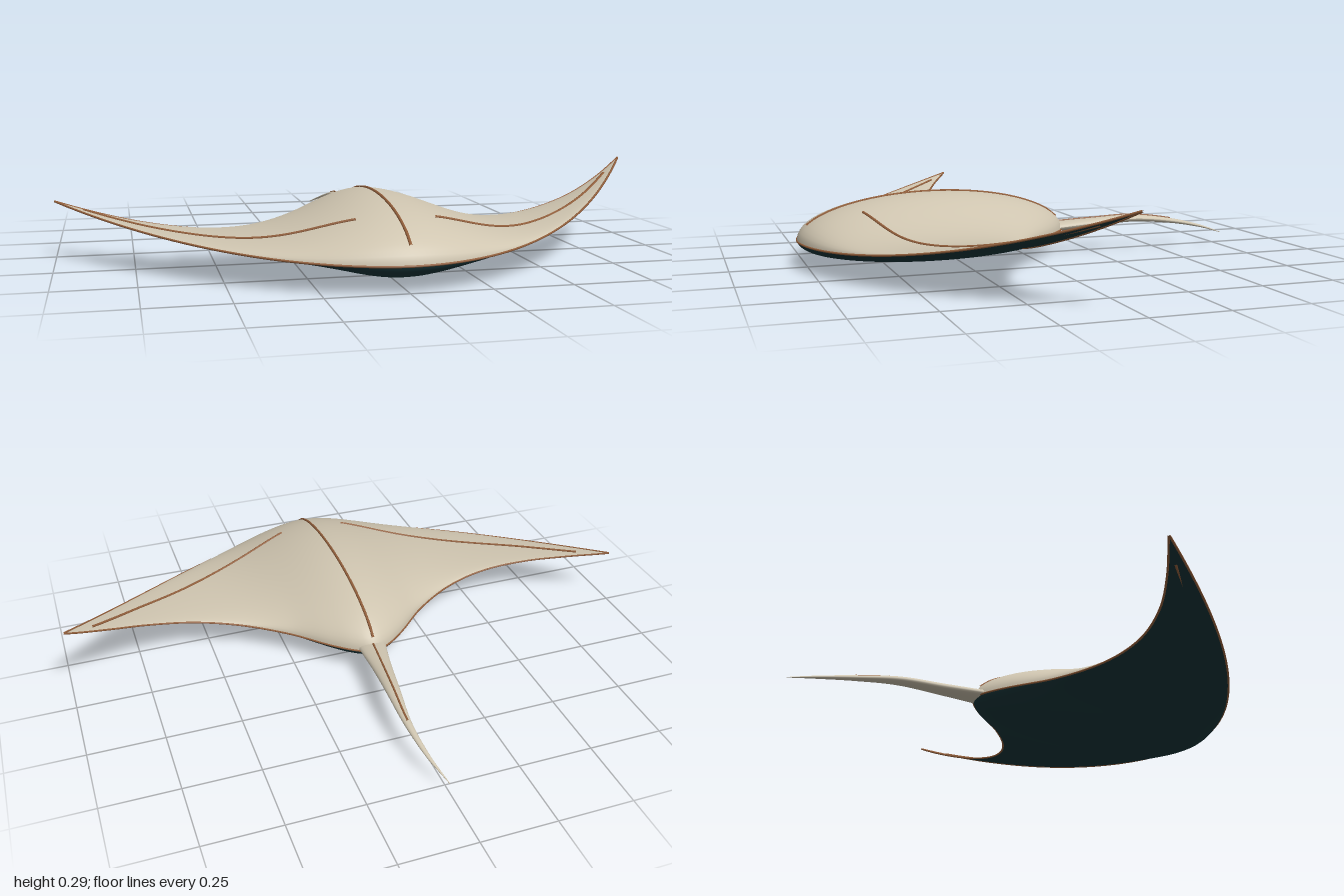
import * as THREE from 'three';

// Trailing edge: span position -> z
const trailing = new THREE.CubicInterpolant(
  [-0.06, 0, 0.06, 0.13, 0.24, 0.4, 0.56, 0.72, 0.86, 1],
  [-0.115, -0.14, -0.115, -0.06, 0.045, 0.145, 0.183, 0.16, 0.1, 0.02], 1, new Float32Array(1));
const backZ = (x) => trailing.evaluate(Math.min(1, Math.abs(x)))[0];
const frontZ = (x) => 0.78 - 0.76 * Math.pow(Math.abs(x), 1.75);

// Height of the rim: the left wing lifts higher than the right one
const rimY = (x) => 0.086 + (x > 0 ? 0.2 : 0.105) * Math.pow(Math.abs(x), x > 0 ? 2.8 : 2.4);
const bell = (x, width) => Math.exp(-((x / width) ** 2));
const topThick = (x) => 0.125 * bell(x, 0.29) + 0.025 * (1 - Math.abs(x));
const bellyThick = (x) => 0.081 * bell(x, 0.23) + 0.004 * (1 - Math.abs(x));

// Point on the skin; angle runs from the leading edge (0) to the trailing edge (PI)
function skin(x, angle, upper) {
  const f = frontZ(x), b = backZ(x), s = Math.sin(angle);
  const y = rimY(x) + s * (upper ? topThick(x) : -bellyThick(x));
  return new THREE.Vector3(x, y, (f + b) / 2 + ((f - b) / 2) * Math.cos(angle));
}

// Point on the back at a given x and z
function onBack(x, z) {
  const f = frontZ(x), b = backZ(x);
  return skin(x, Math.acos(THREE.MathUtils.clamp((2 * z - f - b) / (f - b), -1, 1)), true);
}

// Smooth surface from a function of u and v
function surface(fn, nu, nv) {
  const pos = [], index = [];
  for (let j = 0; j <= nv; j++)
    for (let i = 0; i <= nu; i++) pos.push(...fn(i / nu, j / nv).toArray());
  for (let j = 0; j < nv; j++)
    for (let i = 0; i < nu; i++) {
      const a = j * (nu + 1) + i, c = a + nu + 1;
      index.push(a, a + 1, c, a + 1, c + 1, c);
    }
  const g = new THREE.BufferGeometry();
  g.setAttribute('position', new THREE.Float32BufferAttribute(pos, 3));
  g.setIndex(index);
  g.computeVertexNormals();
  return g;
}

const cord = (points, radius, segments = 80) =>
  new THREE.TubeGeometry(new THREE.CatmullRomCurve3(points), segments, radius, 6);

const sample = (n, fn) => Array.from({ length: n + 1 }, (_, i) => fn(i / n));

export function createModel() {
  const material = (name, color) => {
    const m = new THREE.MeshStandardMaterial({ color });
    m.name = name;
    return m;
  };
  const cream = material('cream', 0xcfc5b0);
  const teal = material('darkTeal', 0x18363a);
  const copper = material('copper', 0x94603c);

  const group = new THREE.Group();
  const add = (name, geometry, mat) => {
    const mesh = new THREE.Mesh(geometry, mat);
    mesh.name = name;
    group.add(mesh);
  };

  // Body and wings: pale back, dark belly
  add('back', surface((u, v) => skin(2 * u - 1, v * Math.PI, true), 120, 32), cream);
  add('belly', surface((u, v) => skin(1 - 2 * u, v * Math.PI, false), 120, 32), teal);

  // Rim piping along the leading and trailing edges
  for (const [name, angle] of [['leadingRim', 0], ['trailingRim', Math.PI]])
    add(name, cord(sample(60, (t) => skin((2 * t - 1) * 0.998, angle, true)), 0.0035, 160), copper);

  // Seam down the spine
  add('spineSeam', cord(sample(24, (t) => onBack(0, 0.75 - 0.87 * t)), 0.005), copper);

  // Curved seam on each wing
  const wingLine = [[0.12, 0.585], [0.34, 0.51], [0.5, 0.425], [0.72, 0.27], [0.905, 0.1]];
  const plan = new THREE.SplineCurve(wingLine.map(([x, z]) => new THREE.Vector2(x, z)));
  for (const side of [1, -1]) {
    const points = sample(30, (t) => {
      const p = plan.getPoint(t);
      return onBack(side * p.x, p.y);
    });
    add(side > 0 ? 'leftWingSeam' : 'rightWingSeam', cord(points, 0.005), copper);
  }

  // Tail: flattened oval sections along a bent path [x, y, z, halfWidth, halfHeight]
  const sections = [
    [0, 0.092, -0.1, 0.05, 0.018], [0.017, 0.103, -0.25, 0.034, 0.016],
    [0.034, 0.113, -0.4, 0.024, 0.013], [0.043, 0.098, -0.55, 0.013, 0.009],
    [0.03, 0.07, -0.68, 0.007, 0.005], [0, 0.036, -0.785, 0.001, 0.001],
  ];
  const path = new THREE.CatmullRomCurve3(
    sections.map((s) => new THREE.Vector3(s[0], s[1], s[2])), false, 'catmullrom');
  const size = new THREE.CatmullRomCurve3(
    sections.map((s) => new THREE.Vector3(s[3], s[4], 0)), false, 'catmullrom');
  const tailPoint = (angle, t, scale = 1) => {
    const p = path.getPoint(t), r = size.getPoint(t);
    return p.add(new THREE.Vector3(r.x * Math.cos(angle) * scale, r.y * Math.sin(angle) * scale, 0));
  };
  add('tail', surface((u, v) => tailPoint(-u * Math.PI * 2, v), 24, 48), cream);
  add('tailRoot', surface((u, v) => tailPoint(-u * Math.PI * 2, 0, v), 24, 1), cream);
  add('tailSeam', cord(sample(20, (t) => tailPoint(Math.PI / 2, 0.04 + 0.56 * t)), 0.0035), copper);

  return group;
}
